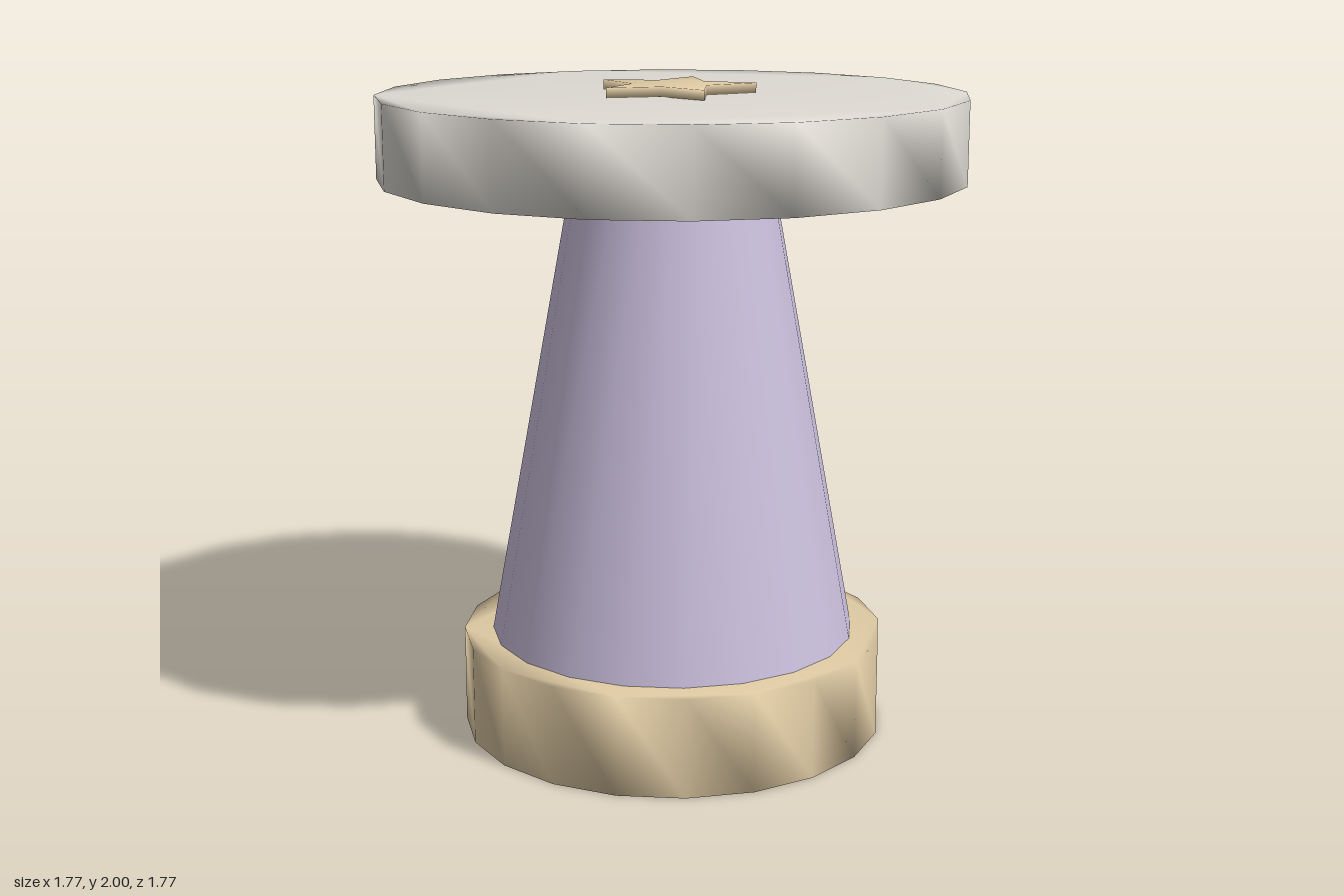
import * as THREE from 'three';
import { mergeVertices } from 'three/addons/utils/BufferGeometryUtils.js';

const SIDES = 20;

// Points around the y axis, starting at the front; radii alternate through the list.
function ring(count, radii) {
  return Array.from({ length: count }, (_, i) => {
    const a = (i / count) * Math.PI * 2, r = radii[i % radii.length];
    return new THREE.Vector2(Math.sin(a) * r, -Math.cos(a) * r);
  });
}

// Upright slab with shared corners, so the shading rolls softly over its rims.
function slab(points, bottom, top) {
  const geo = new THREE.ExtrudeGeometry(new THREE.Shape(points), {
    depth: top - bottom, bevelEnabled: false, steps: 1,
  });
  geo.rotateX(-Math.PI / 2).translate(0, bottom, 0);
  geo.deleteAttribute('uv');
  geo.deleteAttribute('normal');
  const soft = mergeVertices(geo, 1e-4);
  soft.clearGroups();
  soft.computeVertexNormals();
  return soft;
}

export function createModel() {
  const group = new THREE.Group();
  const material = (name, color) => {
    const m = new THREE.MeshStandardMaterial({ color });
    m.name = name;
    return m;
  };
  const sand = material('sand', 0xe0cba4);
  const lilac = material('lilac', 0xcabfdd);
  const paleGrey = material('paleGrey', 0xdedad3);

  const add = (name, geo, mat) => {
    const mesh = new THREE.Mesh(geo, mat);
    mesh.name = name;
    group.add(mesh);
  };

  // Round foot
  add('base', slab(ring(SIDES, [0.655]), 0, 0.305), sand);

  // Tapered column, its ends hidden by the slabs
  const column = new THREE.CylinderGeometry(0.305, 0.565, 1.415, SIDES, 1, true);
  column.translate(0, 0.305 + 1.415 / 2, 0);
  add('column', column, lilac);

  // Wide round top with a raised star
  add('topDisc', slab(ring(SIDES, [0.885]), 1.72, 1.97), paleGrey);
  add('star', slab(ring(10, [0.25, 0.12]), 1.97, 2), sand);

  return group;
}
